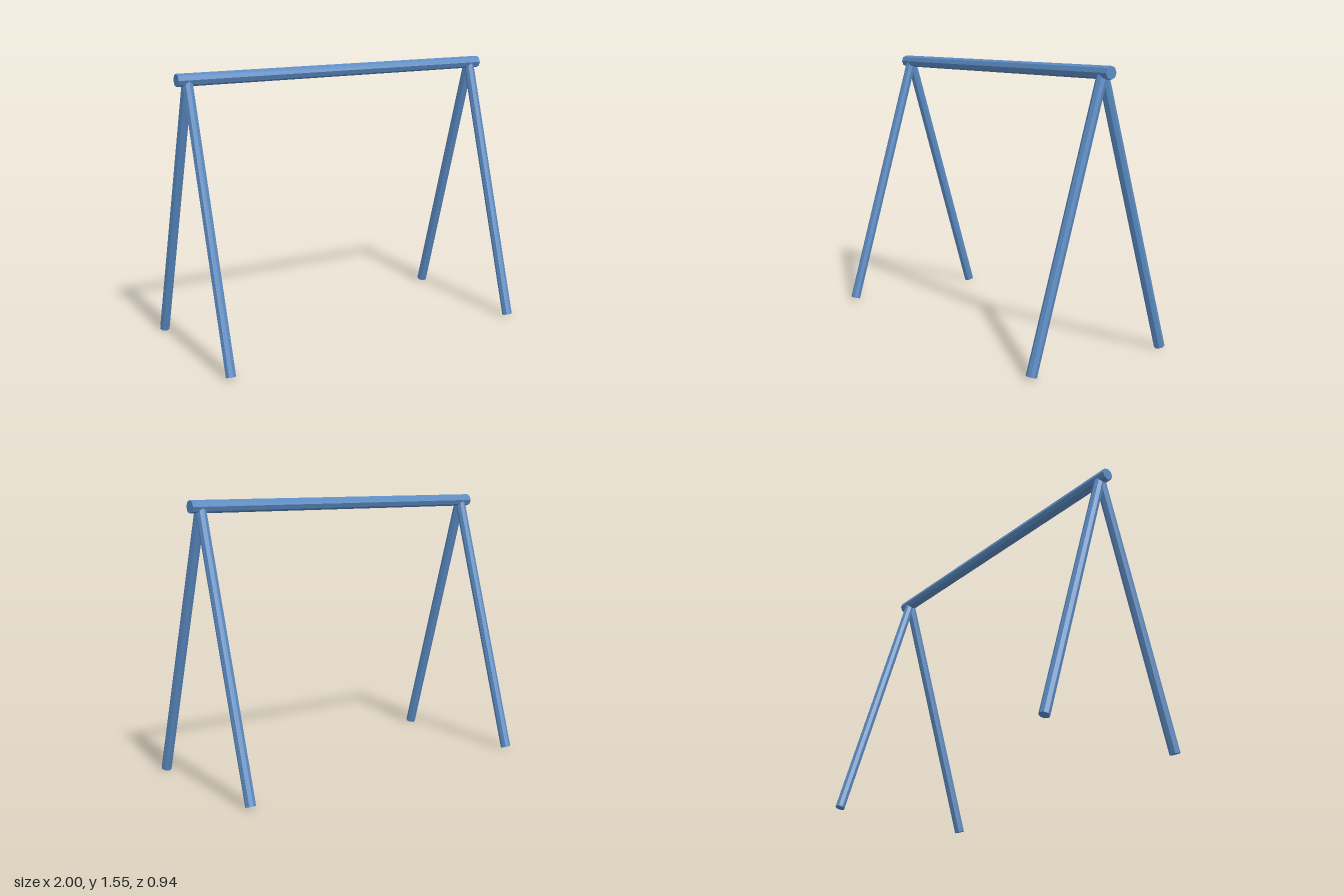
import * as THREE from 'three';

const BAR_Y = 1.512, LEG_X = 0.9375, FOOT_Z = 0.44, FOOT_Y = 0.008;

export function createModel() {
  const group = new THREE.Group();
  const bluePaint = new THREE.MeshStandardMaterial({ color: 0x5b8cc4, flatShading: true });
  bluePaint.name = 'bluePaint';

  // eight-sided pole between two points
  function pole(name, from, to, radius) {
    const dir = to.clone().sub(from);
    const mesh = new THREE.Mesh(new THREE.CylinderGeometry(radius, radius, dir.length(), 8), bluePaint);
    mesh.name = name;
    mesh.position.copy(from).add(to).multiplyScalar(0.5);
    mesh.quaternion.setFromUnitVectors(new THREE.Vector3(0, 1, 0), dir.normalize());
    group.add(mesh);
  }

  // top bar
  pole('crossbar', new THREE.Vector3(-1, BAR_Y, 0), new THREE.Vector3(1, BAR_Y, 0), 0.035);

  // splayed pair of legs at each end
  for (const [side, sx] of [['Left', 1], ['Right', -1]]) {
    for (const [end, sz] of [['front', 1], ['back', -1]]) {
      pole(`${end}${side}Leg`,
        new THREE.Vector3(sx * LEG_X, FOOT_Y, sz * FOOT_Z),
        new THREE.Vector3(sx * LEG_X, BAR_Y, 0), 0.029);
    }
  }
  return group;
}
